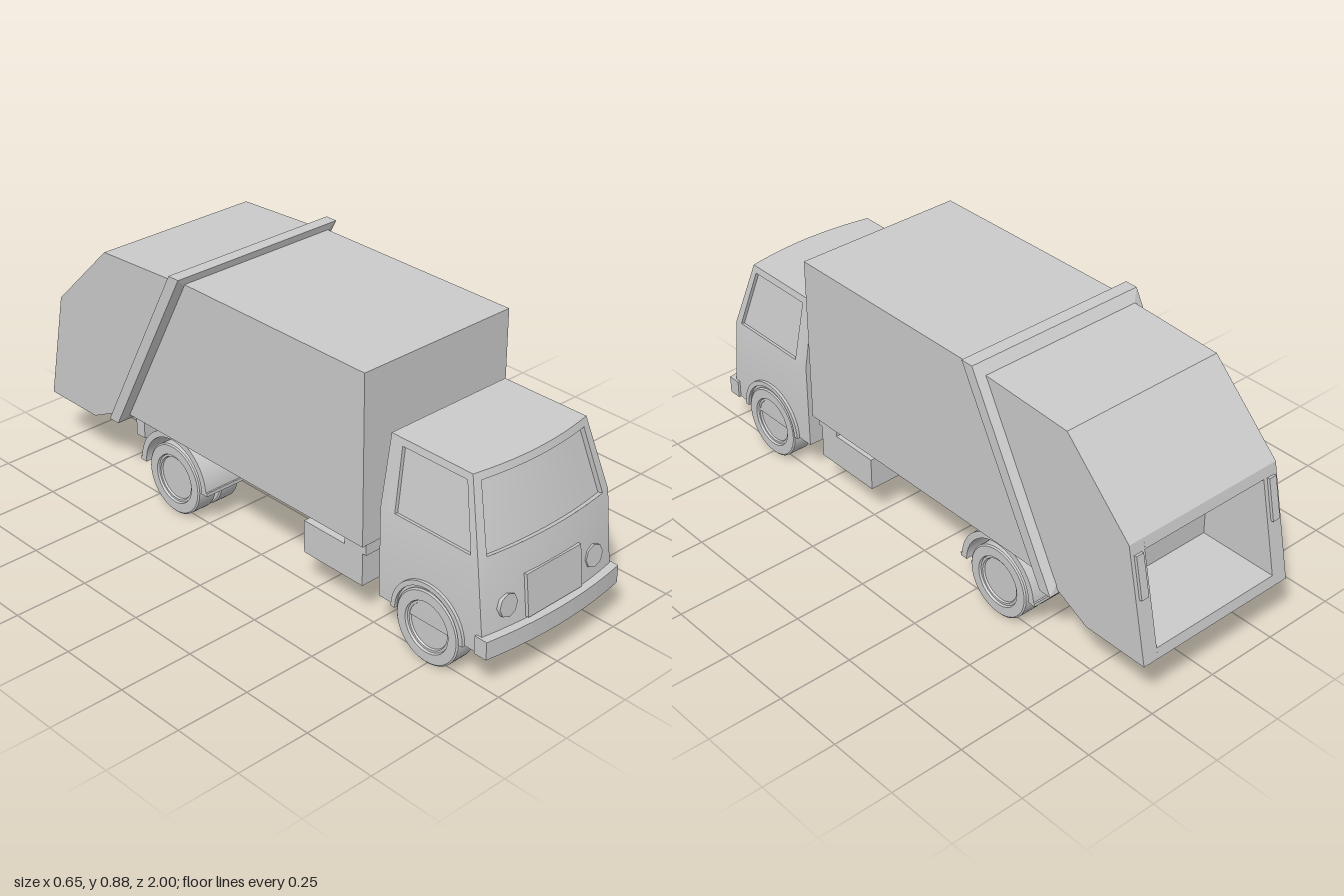
import * as THREE from 'three';
import { toCreasedNormals } from 'three/addons/utils/BufferGeometryUtils.js';

const grey = new THREE.MeshStandardMaterial({ color: 0xcccccc });
const lerp = THREE.MathUtils.lerp;

function add(parent, name, geometry, x = 0, y = 0, z = 0) {
  const mesh = new THREE.Mesh(geometry, grey);
  mesh.name = name;
  mesh.position.set(x, y, z);
  parent.add(mesh);
  return mesh;
}

function box(parent, name, x0, x1, y0, y1, z0, z1) {
  return add(parent, name, new THREE.BoxGeometry(x1 - x0, y1 - y0, z1 - z0),
    (x0 + x1) / 2, (y0 + y1) / 2, (z0 + z1) / 2);
}

const polygon = points => new THREE.Shape(points.map(p => new THREE.Vector2(...p)));

// Side outline in (z, y), extruded across the width from x0 to x1
function extrudeX(shape, x0, x1) {
  const geo = new THREE.ExtrudeGeometry(shape, { depth: x1 - x0, bevelEnabled: false, curveSegments: 24 });
  return geo.rotateY(-Math.PI / 2).translate(x1, 0, 0);
}

function quad(out, a, b, c, d) {
  for (const p of [a, b, c, a, c, d]) out.push(...p);
}

function fromTriangles(out) {
  const geo = new THREE.BufferGeometry();
  geo.setAttribute('position', new THREE.Float32BufferAttribute(out, 3));
  geo.computeVertexNormals();
  return geo;
}

// Surface f(u, v) split into columns
function patch(out, f, u0, u1, v0, v1, n = 1) {
  for (let i = 0; i < n; i++) {
    const a = lerp(u0, u1, i / n), b = lerp(u0, u1, (i + 1) / n);
    quad(out, f(a, v0), f(b, v0), f(b, v1), f(a, v1));
  }
}

// Wall with a recessed window; the pane is moved inward by the given offset
function windowWall(out, pane, f, [u0, u1, v0, v1], [a, b, c, d], offset, n) {
  patch(out, f, u0, u1, v0, c, n);
  patch(out, f, u0, u1, d, v1, n);
  patch(out, f, u0, a, c, d);
  patch(out, f, b, u1, c, d);
  const g = (u, v) => f(u, v).map((k, i) => k + offset[i]);
  patch(pane, g, a, b, c, d, n);
  for (let i = 0; i < n; i++) {
    const p = lerp(a, b, i / n), q = lerp(a, b, (i + 1) / n);
    quad(out, f(p, c), f(q, c), g(q, c), g(p, c));
    quad(out, f(q, d), f(p, d), g(p, d), g(q, d));
  }
  quad(out, f(a, d), f(a, c), g(a, c), g(a, d));
  quad(out, f(b, c), f(b, d), g(b, d), g(b, c));
}

function buildCab(truck) {
  const cab = new THREE.Group();
  cab.name = 'cab';
  truck.add(cab);
  const back = 0.545, low = 0.13, waist = 0.43, top = 0.66, N = 10;
  const w = y => y < waist ? 0.275 : lerp(0.275, 0.235, (y - waist) / (top - waist));
  const nose = y => y < waist ? lerp(0.98, 0.947, (y - low) / (waist - low))
    : lerp(0.947, 0.88, (y - waist) / (top - waist));
  const front = (u, y) => [u * w(y), y, nose(y) - 0.025 * u * u];
  const left = (u, y) => [w(y), y, lerp(nose(y) - 0.025, back, u)];
  const right = (u, y) => [-w(y), y, lerp(back, nose(y) - 0.025, u)];
  const rear = (u, y) => [-u * w(y), y, back];
  const level = y => (u, t) => [u * w(y), y, lerp(front(u, y)[2], back, t)];

  const shell = [], panes = [];
  patch(shell, front, -1, 1, low, waist, N);
  patch(shell, left, 0, 1, low, waist);
  patch(shell, right, 0, 1, low, waist);
  patch(shell, rear, -1, 1, low, waist);
  patch(shell, rear, -1, 1, waist, top);
  patch(shell, level(top), -1, 1, 0, 1, N);
  patch(shell, level(low), 1, -1, 0, 1, N);
  windowWall(shell, panes, front, [-1, 1, waist, top], [-0.89, 0.89, 0.432, 0.637], [0, -0.005, -0.017], N);
  windowWall(shell, panes, left, [0, 1, waist, top], [0.07, 0.85, 0.435, 0.637], [-0.012, -0.002, 0], 1);
  windowWall(shell, panes, right, [0, 1, waist, top], [0.15, 0.93, 0.435, 0.637], [0.012, -0.002, 0], 1);
  add(cab, 'cabShell', toCreasedNormals(fromTriangles(shell), 0.3));
  add(cab, 'windows', toCreasedNormals(fromTriangles(panes), 0.3));

  // Bumper with a bowed front
  const bow = [[-0.283, -0.93]];
  for (let i = 0; i <= N; i++) {
    const u = i / N * 2 - 1;
    bow.push([u * 0.283, -1 + 0.025 * u * u]);
  }
  bow.push([0.283, -0.93]);
  const bumper = new THREE.ExtrudeGeometry(polygon(bow), { depth: 0.06, bevelEnabled: false });
  add(cab, 'bumper', bumper.rotateX(-Math.PI / 2), 0, 0.13, 0);

  // Grille and headlights lean with the nose
  const grille = box(cab, 'grille', -0.115, 0.115, 0.195, 0.333, 0.952, 0.972);
  grille.rotation.x = -0.11;
  for (const s of [-1, 1]) {
    const lamp = add(cab, 'headlight', new THREE.CylinderGeometry(0.037, 0.037, 0.024, 8), s * 0.183, 0.26, 0.951);
    lamp.rotation.x = Math.PI / 2 - 0.11;
  }
}

function buildHopper(truck) {
  const hopper = new THREE.Group();
  hopper.name = 'hopper';
  truck.add(hopper);
  const outer = [[-0.31, 0.845], [-0.67, 0.825], [-0.92, 0.58], [-1, 0.2], [-0.77, 0.2], [-0.65, 0.26]];
  const mouth = [[-0.928, 0.545], [-0.72, 0.545], [-0.72, 0.235], [-0.993, 0.235]];
  const middle = polygon([...outer.slice(0, 3), ...mouth, ...outer.slice(3)]);
  add(hopper, 'hopperMiddle', extrudeX(middle, -0.24, 0.24));
  for (const s of [-1, 1]) {
    add(hopper, 'hopperSide', extrudeX(polygon(outer), s > 0 ? 0.24 : -0.295, s > 0 ? 0.295 : -0.24));
    const lamp = add(hopper, 'tailLight', new THREE.BoxGeometry(0.028, 0.14, 0.02), s * 0.268, 0.475, -0.942);
    lamp.rotation.x = 0.207;
  }
}

// Slanted rim with bevelled edges between body and hopper
function buildRim(truck) {
  const slant = y => -0.263 - (0.875 - y) * 0.536;
  const loop = (x, y0, y1, d) => [[-x, y0], [x, y0], [x, y1], [-x, y1]].map(([px, y]) => [px, y, slant(y) + d]);
  const loops = [loop(0.295, 0.277, 0.845, 0), loop(0.325, 0.25, 0.875, -0.008),
    loop(0.325, 0.25, 0.875, -0.052), loop(0.295, 0.277, 0.845, -0.06)];
  const out = [];
  quad(out, ...loops[0]);
  for (let k = 0; k < 3; k++) {
    for (let i = 0; i < 4; i++) {
      const j = (i + 1) % 4;
      quad(out, loops[k][j], loops[k][i], loops[k + 1][i], loops[k + 1][j]);
    }
  }
  quad(out, ...loops[3].slice().reverse());
  add(truck, 'slantedRim', fromTriangles(out));
}

// Tyre and recessed hub, turned about x
const wheelProfile = [[0, -0.012], [0.07, -0.012], [0.085, -0.037], [0.117, -0.037], [0.122, -0.033],
  [0.122, 0.033], [0.117, 0.037], [0.085, 0.037], [0.082, 0.03], [0.075, 0.03], [0.072, 0.024], [0, 0.024]];
const wheelGeo = toCreasedNormals(
  new THREE.LatheGeometry(wheelProfile.map(p => new THREE.Vector2(...p)), 40), 0.5).rotateZ(-Math.PI / 2);

function fender(inner, outer) {
  const shape = new THREE.Shape();
  shape.absarc(0, 0, outer, 0, Math.PI, false);
  shape.absarc(0, 0, inner, Math.PI, 0, true);
  return shape;
}

function buildWheels(truck) {
  const axles = [['front', 0.745, [0.246], 0.126, 0.142, 0.2], ['rear', -0.38, [0.246, 0.152], 0.138, 0.16, 0.11]];
  for (const [name, z, offsets, inner, outer, x0] of axles) {
    const axle = add(truck, name + 'Axle', new THREE.CylinderGeometry(0.02, 0.02, 0.46, 12), 0, 0.122, z);
    axle.rotation.z = Math.PI / 2;
    for (const s of [-1, 1]) {
      for (const x of offsets) {
        const wheel = add(truck, name + 'Wheel', wheelGeo, s * x, 0.122, z);
        if (s < 0) wheel.rotation.y = Math.PI;
      }
      const [a, b] = s > 0 ? [x0, 0.285] : [-0.285, -x0];
      add(truck, name + 'Fender', toCreasedNormals(extrudeX(fender(inner, outer), a, b), 0.5), 0, 0.128, z);
      // Small feet at the ends of the rear fenders
      if (name === 'rear') for (const e of [-1, 1]) {
        const c = z + e * 0.153;
        box(truck, 'fenderFoot', a, b, 0.128, 0.14, c - 0.012, c + 0.012);
      }
    }
  }
}

export function createModel() {
  const truck = new THREE.Group();
  truck.name = 'refuseTruck';
  buildCab(truck);
  const body = polygon([[0.495, 0.28], [0.495, 0.85], [-0.3, 0.85], [-0.605, 0.28]]);
  add(truck, 'cargoBody', extrudeX(body, -0.295, 0.295));
  buildRim(truck);
  buildHopper(truck);

  // Chassis: tapering spine, frame, rear crossmember and side tanks
  const spine = polygon([[0.55, 0.13], [0.55, 0.28], [-0.58, 0.28], [-0.58, 0.2], [-0.22, 0.18]]);
  add(truck, 'chassisSpine', extrudeX(spine, -0.05, 0.05));
  box(truck, 'chassisFrame', -0.16, 0.16, 0.23, 0.282, -0.57, 0.49);
  box(truck, 'rearCrossmember', -0.27, 0.27, 0.2, 0.282, -0.58, -0.54);
  for (const s of [-1, 1]) {
    const [a, b] = s > 0 ? [0.12, 0.275] : [-0.275, -0.12];
    box(truck, 'sideTank', a, b, 0.128, 0.24, 0.225, 0.475);
    box(truck, 'tankBracket', a, b, 0.24, 0.282, 0.4, 0.49);
  }
  buildWheels(truck);
  return truck;
}
